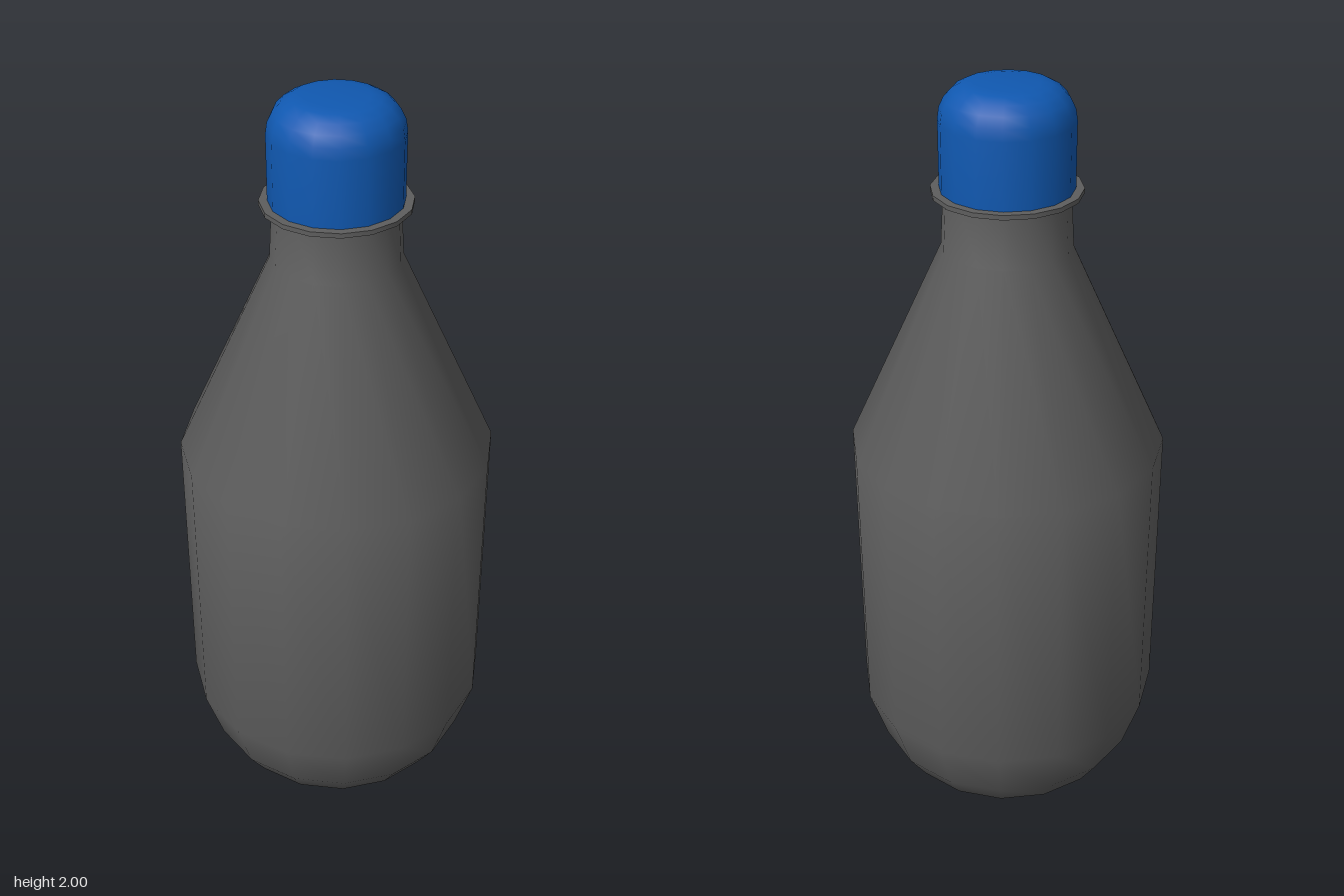
import * as THREE from 'three';
import { toCreasedNormals } from 'three/addons/utils/BufferGeometryUtils.js';

const SIDES = 16;

// Revolves [radius, height] pairs, listed from bottom to top
function turned(name, profile, color, crease) {
  const points = profile.map(([r, y]) => new THREE.Vector2(r, y));
  let geometry = new THREE.LatheGeometry(points, SIDES);
  if (crease) geometry = toCreasedNormals(geometry, crease);
  const mesh = new THREE.Mesh(geometry, new THREE.MeshStandardMaterial({ color }));
  mesh.name = name;
  return mesh;
}

export function createModel() {
  const group = new THREE.Group();
  group.name = 'bottle';
  const grey = 0x5e5e5e;
  const blue = 0x1058b0;

  // Body: rounded base, straight wall, conical shoulder and neck
  group.add(turned('body', [
    [0, 0], [0.15, 0.005], [0.24, 0.025], [0.31, 0.07], [0.36, 0.145],
    [0.407, 0.29], [0.407, 1.06], [0.163, 1.595], [0.155, 1.74], [0, 1.74],
  ], grey, 0.8));

  // Thin collar below the cap
  group.add(turned('neckRing', [
    [0, 1.732], [0.186, 1.732], [0.186, 1.744], [0, 1.744],
  ], grey, 0.6));

  // Cap with a rounded top edge
  const cap = [[0, 1.744], [0.165, 1.744], [0.165, 1.91]];
  for (let i = 1; i <= 5; i++) {
    const a = (i / 5) * Math.PI / 2;
    cap.push([0.08 + 0.085 * Math.cos(a), 1.91 + 0.09 * Math.sin(a)]);
  }
  cap.push([0, 2]);
  group.add(turned('cap', cap, blue, 0.8));

  return group;
}
